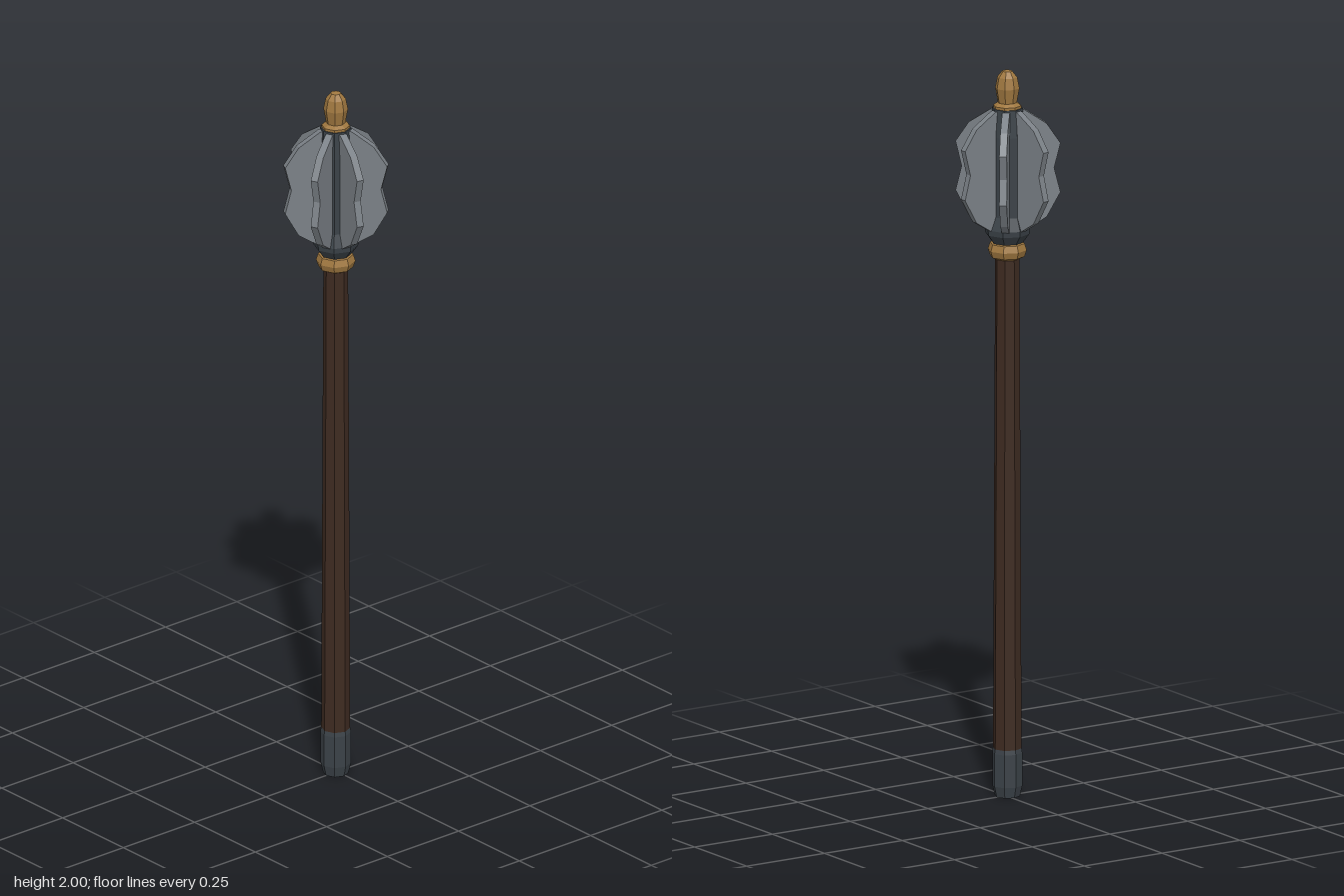
import * as THREE from 'three';

const material = (name, color) => {
  const m = new THREE.MeshStandardMaterial({ color });
  m.name = name;
  return m;
};

// Eight-sided turned part with faceted normals; profile is [radius, y] from the bottom up
function turned(name, profile, mat) {
  const points = profile.map(([r, y]) => new THREE.Vector2(r, y));
  const geometry = new THREE.LatheGeometry(points, 8).toNonIndexed();
  geometry.computeVertexNormals();
  const mesh = new THREE.Mesh(geometry, mat);
  mesh.name = name;
  return mesh;
}

export function createModel() {
  const wood = material('dark wood', 0x3e2b21);
  const darkSteel = material('dark steel', 0x3b4248);
  const steel = material('steel', 0x7b8187);
  const brass = material('brass', 0xa07840);

  const mace = new THREE.Group();
  mace.name = 'mace';

  // Handle, tapering upwards, with its pommel cap
  mace.add(turned('shaft', [[0, 0.1], [0.039, 0.1], [0.033, 1.53], [0, 1.53]], wood));
  mace.add(turned('pommel',
    [[0, 0], [0.034, 0], [0.041, 0.03], [0.041, 0.12], [0.038, 0.137], [0, 0.137]], darkSteel));

  // Collar below the head
  mace.add(turned('collar',
    [[0.033, 1.48], [0.047, 1.487], [0.053, 1.505], [0.047, 1.523], [0.033, 1.53]], brass));

  // Head core with a flared foot
  mace.add(turned('headCore',
    [[0, 1.52], [0.042, 1.525], [0.06, 1.55], [0.062, 1.565], [0.048, 1.6],
      [0.048, 1.82], [0.042, 1.895], [0, 1.895]], darkSteel));

  // Finial on a small ring
  mace.add(turned('finial',
    [[0, 1.885], [0.038, 1.888], [0.038, 1.902], [0.026, 1.91], [0.033, 1.95],
      [0.027, 1.98], [0.014, 1.996], [0, 2]], brass));

  // Seven scalloped flanges around the core
  const outline = [[0.02, 1.555], [0.045, 1.555], [0.105, 1.593], [0.142, 1.66], [0.125, 1.727],
    [0.142, 1.795], [0.105, 1.85], [0.045, 1.89], [0.02, 1.89]];
  const shape = new THREE.Shape(outline.map(([x, y]) => new THREE.Vector2(x, y)));
  const flangeGeometry = new THREE.ExtrudeGeometry(shape, { depth: 0.02, bevelEnabled: false });
  flangeGeometry.translate(0, 0, -0.01);
  const flanges = new THREE.Group();
  flanges.name = 'flanges';
  for (let i = 0; i < 7; i++) {
    const flange = new THREE.Mesh(flangeGeometry, steel);
    flange.name = 'flange' + (i + 1);
    flange.rotation.y = (i / 7) * Math.PI * 2;
    flanges.add(flange);
  }
  mace.add(flanges);

  // The odd flange count puts the axis slightly off the centre of the bounds
  mace.position.x = -0.005;
  const model = new THREE.Group();
  model.name = 'model';
  model.add(mace);
  return model;
}
